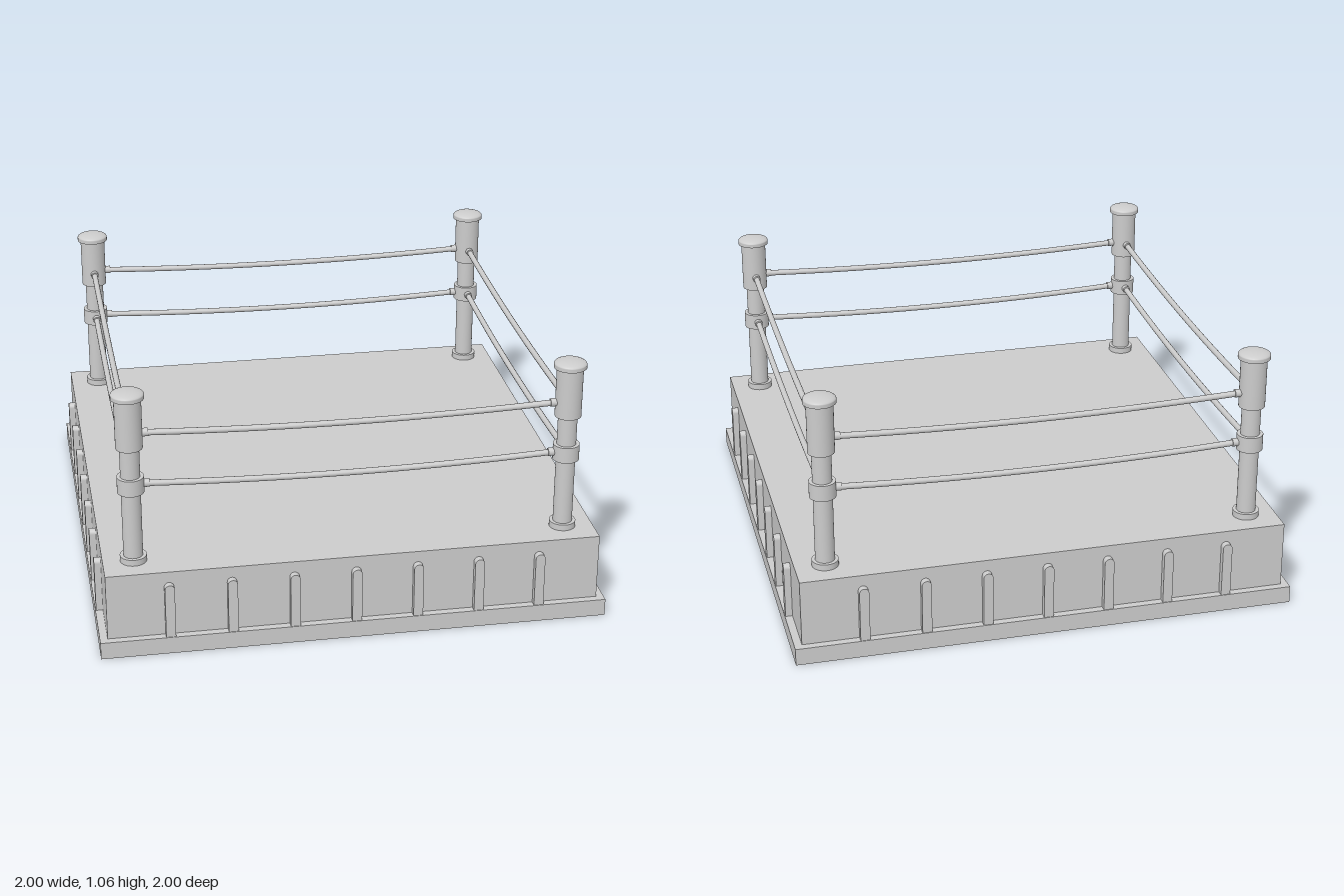
import * as THREE from 'three';

const solid = new THREE.MeshStandardMaterial({ color: 0xcccccc });
const sheet = new THREE.MeshStandardMaterial({ color: 0xcccccc, side: THREE.DoubleSide });

const WALL = 0.97, DECK = 0.34, LEDGE = 0.07, POST = 0.85;
const RIB_Z = 0.997, RIB_R = 0.019, RIB_TOP = 0.295, RIB_STEP = 0.2425;

function add(parent, name, geometry, material = solid) {
  const mesh = new THREE.Mesh(geometry, material);
  mesh.name = name;
  parent.add(mesh);
  return mesh;
}

// Round-topped outline of a rib, from its lower left to its lower right
function archPoints(x) {
  const points = [new THREE.Vector2(x - RIB_R, LEDGE)];
  for (let i = 0; i <= 12; i++) {
    const a = Math.PI * (1 - i / 12);
    points.push(new THREE.Vector2(x + RIB_R * Math.cos(a), RIB_TOP - RIB_R + RIB_R * Math.sin(a)));
  }
  points.push(new THREE.Vector2(x + RIB_R, LEDGE));
  return points;
}

// Hollow rib: a front face and a strip that joins it to the wall
function makeRib(x) {
  const rib = new THREE.Group();
  rib.name = 'rib';
  const points = archPoints(x);
  add(rib, 'ribFace', new THREE.ShapeGeometry(new THREE.Shape(points)).translate(0, 0, RIB_Z), sheet);
  const strip = new THREE.PlaneGeometry(1, 1, points.length - 1, 1);
  const pos = strip.attributes.position;
  for (let i = 0; i < pos.count; i++) {
    const p = points[i % points.length];
    pos.setXYZ(i, p.x, p.y, i < points.length ? WALL : RIB_Z);
  }
  strip.computeVertexNormals();
  add(rib, 'ribEdge', strip, sheet);
  return rib;
}

// One side of the platform: wall with ribs, ledge and skirt, open underneath
function makePlatformSide() {
  const side = new THREE.Group();
  side.name = 'platformSide';
  const outline = [new THREE.Vector2(-WALL, LEDGE)];
  for (let i = -3; i <= 3; i++) {
    outline.push(...archPoints(i * RIB_STEP));
    side.add(makeRib(i * RIB_STEP));
  }
  outline.push(new THREE.Vector2(WALL, LEDGE), new THREE.Vector2(WALL, DECK), new THREE.Vector2(-WALL, DECK));
  add(side, 'wall', new THREE.ShapeGeometry(new THREE.Shape(outline)).translate(0, 0, WALL), sheet);

  const ledge = new THREE.Shape([[-1, -1], [1, -1], [WALL, -WALL], [-WALL, -WALL]].map(p => new THREE.Vector2(...p)));
  add(side, 'ledge', new THREE.ShapeGeometry(ledge).rotateX(-Math.PI / 2).translate(0, LEDGE, 0), sheet);
  add(side, 'skirt', new THREE.PlaneGeometry(2, LEDGE).translate(0, LEDGE / 2, 1), sheet);
  return side;
}

// Corner post with foot, collar, sleeve and domed cap
function makePost() {
  const post = new THREE.Group();
  post.name = 'post';
  const ring = (name, r, y0, y1) =>
    add(post, name, new THREE.CylinderGeometry(r, r, y1 - y0, 32).translate(0, (y0 + y1) / 2, 0));
  ring('shaft', 0.038, DECK, 0.84);
  ring('foot', 0.052, DECK, 0.365);
  ring('collar', 0.052, 0.635, 0.7);
  ring('sleeve', 0.052, 0.82, 1.026);
  ring('capRim', 0.064, 1.024, 1.038);
  const dome = new THREE.SphereGeometry(0.064, 32, 8, 0, Math.PI * 2, 0, Math.PI / 2);
  add(post, 'capDome', dome.scale(1, 0.27, 1).translate(0, 1.038, 0));
  post.position.set(POST, 0, POST);
  return post;
}

// Sagging rope along one side, with a socket at each end
function makeRope(y, sag) {
  const rope = new THREE.Group();
  rope.name = 'rope';
  const end = POST - 0.04;
  const curve = new THREE.QuadraticBezierCurve3(
    new THREE.Vector3(-end, y, POST), new THREE.Vector3(0, y - 2 * sag, POST), new THREE.Vector3(end, y, POST));
  add(rope, 'ropeLine', new THREE.TubeGeometry(curve, 32, 0.012, 12));
  for (const s of [-1, 1]) {
    const socket = new THREE.CylinderGeometry(0.016, 0.016, 0.04, 16).rotateZ(Math.PI / 2);
    add(rope, 'ropeSocket', socket).position.set(s * 0.797, y, POST);
  }
  return rope;
}

export function createModel() {
  const model = new THREE.Group();
  model.name = 'ropedRing';
  add(model, 'floor', new THREE.PlaneGeometry(2 * WALL, 2 * WALL).rotateX(-Math.PI / 2).translate(0, DECK, 0), sheet);

  // The same quarter, turned around the centre four times
  for (let i = 0; i < 4; i++) {
    const quarter = new THREE.Group();
    quarter.name = 'quarter';
    quarter.add(makePlatformSide(), makePost(), makeRope(0.879, 0.02), makeRope(0.667, 0.022));
    quarter.rotation.y = i * Math.PI / 2;
    model.add(quarter);
  }
  return model;
}
